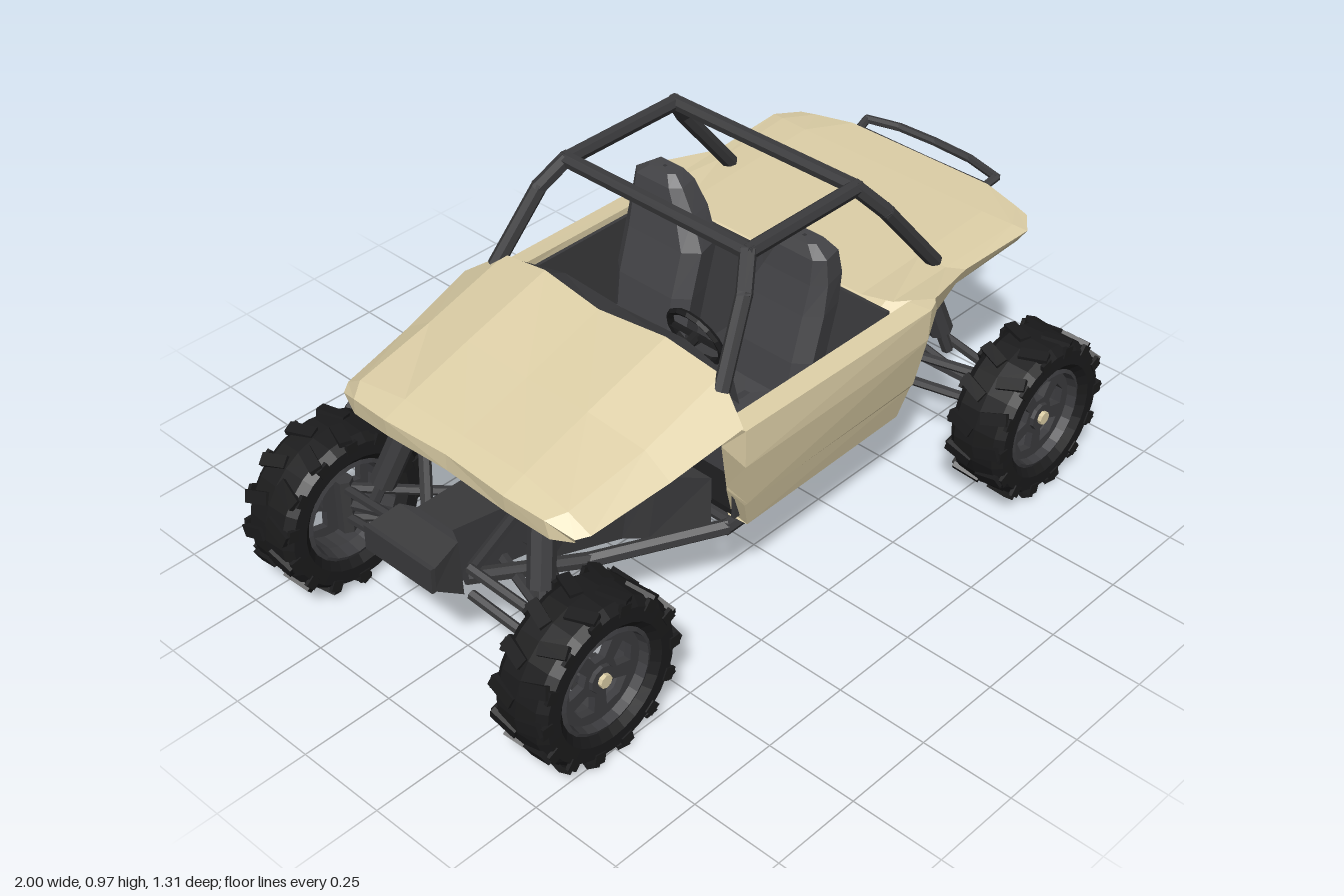
import * as THREE from 'three';
import { mergeGeometries } from 'three/addons/utils/BufferGeometryUtils.js';

const mat = (name, color) => Object.assign(new THREE.MeshStandardMaterial({ color, side: THREE.DoubleSide }), { name });
const paint = mat('tan paint', 0xdccea6);
const rubber = mat('black rubber', 0x1b1b1c);
const steel = mat('dark steel', 0x3a3a3c);
const rimGrey = mat('rim grey', 0x3c3c3f);
const fabric = mat('seat grey', 0x444447);

const V = (p) => new THREE.Vector3(...p);

export function createModel() {
  const root = new THREE.Group();

  const add = (name, geo, material, parent = root) => {
    const g = geo.index ? geo.toNonIndexed() : geo;
    g.computeVertexNormals();
    const m = new THREE.Mesh(g, material);
    m.name = name;
    parent.add(m);
    return m;
  };
  // Faceted surface through equal-length rows of points
  const loft = (rows, closed = false) => {
    const n = rows[0].length, pos = rows.flat(2), idx = [];
    for (let i = 0; i < rows.length - 1; i++) {
      for (let j = 0; j < (closed ? n : n - 1); j++) {
        const k = (j + 1) % n, a = i * n + j, b = i * n + k, c = a + n, d = b + n;
        idx.push(a, b, c, b, d, c);
      }
    }
    const g = new THREE.BufferGeometry();
    g.setAttribute('position', new THREE.Float32BufferAttribute(pos, 3));
    g.setIndex(idx);
    return g;
  };
  const mirrorRow = (row) => [...row.slice(1).reverse().map(([x, y, z]) => [x, y, -z]), ...row];
  const flip = (pts, s) => pts.map(([x, y, z]) => [x, y, z * s]);
  // Round bar following straight segments
  const bar = (name, pts, r, material = steel, sides = 7) => {
    const parts = [];
    for (let i = 0; i < pts.length - 1; i++) {
      const a = V(pts[i]), b = V(pts[i + 1]), d = b.clone().sub(a), len = d.length();
      const g = new THREE.CylinderGeometry(r, r, len + r * 0.6, sides);
      g.applyQuaternion(new THREE.Quaternion().setFromUnitVectors(new THREE.Vector3(0, 1, 0), d.normalize()));
      g.translate(...a.add(b).multiplyScalar(0.5).toArray());
      parts.push(g);
    }
    return add(name, mergeGeometries(parts), material);
  };
  const box = (name, size, at, material, tiltZ = 0) => {
    const m = add(name, new THREE.BoxGeometry(...size), material);
    m.position.set(...at);
    m.rotation.z = tiltZ;
    return m;
  };

  // Hood with fender edges
  add('hood', loft([
    [[-.775, .555, 0], [-.78, .55, .2], [-.77, .54, .33], [-.74, .54, .38], [-.73, .53, .34]],
    [[-.775, .6, 0], [-.785, .598, .2], [-.775, .59, .32], [-.75, .56, .39], [-.73, .54, .36]],
    [[-.72, .622, 0], [-.72, .622, .2], [-.73, .605, .35], [-.72, .565, .41], [-.7, .545, .38]],
    [[-.52, .678, 0], [-.52, .685, .2], [-.5, .65, .36], [-.5, .6, .438], [-.5, .58, .4]],
    [[-.285, .752, 0], [-.265, .76, .2], [-.25, .725, .36], [-.29, .648, .465], [-.28, .625, .42]],
  ].map(mirrorRow)), paint);

  // Rear deck with side skirts
  add('rearDeck', loft([
    [[.32, .635, 0], [.32, .635, .3], [.33, .65, .39], [.4, .66, .465], [.46, .58, .43]],
    [[.55, .645, 0], [.55, .645, .3], [.55, .64, .38], [.58, .637, .42], [.57, .59, .4]],
    [[.8, .655, 0], [.8, .655, .3], [.81, .65, .39], [.82, .643, .43], [.81, .61, .41]],
    [[.915, .655, 0], [.915, .655, .23], [.89, .648, .34], [.88, .643, .385], [.87, .62, .37]],
    [[.925, .635, 0], [.925, .635, .22], [.895, .625, .33], [.885, .622, .375], [.87, .618, .365]],
  ].map(mirrorRow)), paint);
  add('deckUnderside', loft([
    [[.34, .52, 0], [.34, .52, .3], [.4, .5, .43]],
    [[.54, .635, 0], [.54, .635, .3], [.54, .625, .4]],
  ].map(mirrorRow)), paint);

  // Side panels, with creases and folded ends
  for (const s of [1, -1]) {
    add('sidePanel', loft([
      [[-.28, .632, .4], [-.27, .632, .4], [.36, .63, .4], [.38, .63, .4]],
      [[-.29, .632, .42], [-.27, .624, .455], [.4, .622, .457], [.49, .62, .42]],
      [[-.27, .54, .38], [-.28, .53, .465], [.39, .54, .46], [.475, .52, .39]],
      [[-.24, .4, .37], [-.255, .4, .45], [.375, .4, .435], [.425, .42, .33]],
      [[-.24, .39, .37], [-.25, .385, .437], [.37, .39, .43], [.42, .41, .32]],
      [[-.21, .3, .36], [-.22, .3, .42], [.35, .3, .41], [.37, .31, .3]],
      [[-.2, .295, .33], [-.22, .295, .36], [.35, .295, .36], [.37, .3, .3]],
    ].map((r) => flip(r, s))), paint);
    box('innerTrim', [.58, .3, .01], [.05, .465, s * .392], steel);
  }

  // Cockpit floor, firewalls, dash and console
  box('floor', [.57, .02, .76], [.07, .3, 0], rubber);
  box('seatFirewall', [.012, .33, .78], [.29, .465, 0], steel, -.15);
  add('dash', loft([
    [[-.285, .744, 0], [-.265, .75, .2], [-.25, .71, .34]],
    [[-.21, .72, 0], [-.2, .72, .2], [-.21, .69, .36]],
    [[-.21, .64, 0], [-.2, .64, .2], [-.21, .63, .38]],
    [[-.27, .62, 0], [-.27, .62, .2], [-.27, .61, .38]],
  ].map(mirrorRow)), steel);
  box('console', [.5, .12, .1], [.04, .36, 0], steel);

  // Seats: back leaning outward toward the headrest, and a cushion
  const seatRing = (x, y, w, d, dz = 0) => [[x - d, y, dz - w * .7], [x - d * .4, y, dz - w], [x + d, y, dz - w * .85],
    [x + d, y, dz + w * .85], [x - d * .4, y, dz + w], [x - d, y, dz + w * .7]];
  for (const s of [1, -1]) {
    const seat = new THREE.Group();
    seat.name = 'seat';
    seat.position.z = s * .2;
    root.add(seat);
    add('seatBack', loft([seatRing(.1, .38, .12, .05), seatRing(.13, .55, .13, .055), seatRing(.165, .67, .13, .055),
      seatRing(.18, .75, .105, .05, s * .02), seatRing(.18, .815, .08, .04, s * .035),
      seatRing(.18, .842, .045, .025, s * .03), seatRing(.18, .843, .005, .005, s * .03)], true), fabric, seat);
    add('cushion', loft([seatRing(-.01, .32, .11, .12), seatRing(-.01, .42, .125, .13), seatRing(0, .455, .1, .11),
      seatRing(0, .45, .01, .02)], true), fabric, seat);
  }

  // Steering wheel and column
  const wheelRim = add('steeringWheel', new THREE.TorusGeometry(.08, .009, 5, 16), rubber);
  wheelRim.position.set(-.165, .71, .2);
  wheelRim.rotation.set(-.35, Math.PI / 2, 0, 'YXZ');
  bar('steeringSpokes', [[-.165, .71, .125], [-.165, .71, .275]], .008, rubber, 5);
  bar('steeringColumn', [[-.165, .71, .2], [-.24, .68, .2]], .014, rubber, 6);

  // Roll cage
  for (const s of [1, -1]) {
    bar('cageSide', flip([[-.265, .7, .375], [-.15, .885, .335], [-.095, .955, .295], [.285, .955, .295],
      [.355, .875, .335], [.545, .65, .345]], s), .021);
  }
  for (const x of [-.095, .285]) bar('cageCrossbar', [[x, .955, -.3], [x, .955, .3]], .02);

  // Lower frame rails and crossmembers
  for (const s of [1, -1]) {
    bar('lowerRail', flip([[.5, .29, .15], [.36, .285, .37], [-.24, .275, .37], [-.52, .24, .19], [-.8, .3, .08]], s), .02);
    bar('innerRail', flip([[.6, .29, .1], [-.5, .26, .12]], s), .016);
    bar('frontUpright', flip([[-.78, .32, .08], [-.68, .55, .19], [-.27, .63, .24]], s), .016);
  }
  for (const x of [-.22, .08, .35]) bar('crossmember', [[x, .28, -.36], [x, .28, .36]], .015);

  // Front core sloping down to the footwell, nose box
  const coreRing = (x, y0, y1, w0, w1) => [[x, y0, -w0], [x, y1, -w1], [x, y1, w1], [x, y0, w0]];
  add('footwell', loft([coreRing(-.63, .3, .56, .1, .16), coreRing(-.58, .25, .61, .13, .22),
    coreRing(-.42, .25, .6, .2, .26), coreRing(-.38, .255, .46, .25, .28), coreRing(-.27, .28, .43, .35, .35)], true), steel);
  add('noseBox', loft([coreRing(-.93, .36, .42, .115, .115), coreRing(-.84, .29, .44, .11, .1),
    coreRing(-.82, .28, .44, .06, .06), coreRing(-.6, .25, .42, .08, .08)], true), steel);
  box('nosePlate', [.012, .07, .23], [-.93, .39, 0], steel);

  // Gearbox wedge with a raised centre
  add('gearbox', loft([coreRing(.51, .28, .4, .07, .1), coreRing(.58, .25, .5, .08, .05),
    coreRing(.66, .24, .46, .08, .09), coreRing(.78, .25, .36, .05, .07), coreRing(.79, .3, .31, .01, .01)], true), steel);
  box('driveTunnel', [.5, .08, .09], [.31, .32, 0], steel);

  // Rear frame V, tail bumper
  for (const s of [1, -1]) {
    bar('rearStay', flip([[.93, .635, .21], [.82, .4, .12], [.76, .26, .05]], s), .016);
    bar('rearBrace', flip([[.82, .42, .12], [.6, .6, .23]], s), .015);
    bar('rearLowerStay', flip([[.76, .26, .05], [.5, .29, .12]], s), .016);
    // Folded gusset forming a V above the gearbox
    add('rearGusset', loft([flip([[.76, .34, .01], [.72, .45, .05], [.7, .5, .17]], s),
      flip([[.79, .3, .03], [.8, .36, .09], [.8, .41, .13]], s)]), steel);
  }
  bar('tailBumper', [[.93, .64, -.215], [.965, .65, -.22], [.985, .655, -.12], [.99, .655, 0],
    [.985, .655, .12], [.965, .65, .22], [.93, .64, .215]], .012);
  bar('bumperLowerBar', [[.93, .635, -.2], [.935, .63, 0], [.93, .635, .2]], .01);

  // Suspension: wishbones, axle, coil-over shock on each corner
  const corner = (x, inX, zHub, s) => {
    for (const [y0, y1] of [[.25, .19], [.33, .28]]) {
      bar('wishbone', flip([[inX - .12, y0, .09], [x, y1, zHub], [inX + .1, y0, .08]], s), .013, steel, 6);
    }
    bar('axle', flip([[inX, .28, .06], [x, .225, zHub + .02]], s), .015, steel, 6);
    bar('hubCarrier', flip([[x, .16, zHub], [x, .3, zHub]], s), .024, steel, 6);
    const rear = x > 0, zs = rear ? .31 : .29, zt = rear ? .255 : .21, xt = x + (rear ? -.09 : .1);
    const along = (t) => [x + (xt - x) * t, .29 + .29 * t, zs + (zt - zs) * t];
    bar('shock', flip([along(0), along(1)], s), .016, steel, 6);
    bar('shockSpring', flip([along(.25), along(.8)], s), .034, steel, 8);
  };

  // Wheels: tyre with shallow lugs, rim ring, five-spoke disc and hub cap
  const lathe = (profile, seg) => new THREE.LatheGeometry(profile.map(([r, y]) => new THREE.Vector2(r, y)), seg).rotateX(Math.PI / 2);
  const tyreGeo = lathe([[.136, -.062], [.16, -.083], [.198, -.082], [.216, -.06], [.219, 0], [.216, .06],
    [.198, .082], [.16, .083], [.136, .062]], 28);
  const lugs = [];
  for (let i = 0; i < 28; i++) {
    const side = i % 2 ? 1 : -1;
    lugs.push(new THREE.BoxGeometry(.032, .014, .075).rotateY(side * .35).translate(0, .2175, side * .044).rotateZ(i * Math.PI / 14));
    lugs.push(new THREE.BoxGeometry(.032, .03, .01).translate(0, .2, side * .081).rotateZ(i * Math.PI / 14));
  }
  const lugGeo = mergeGeometries(lugs);
  const rimGeo = lathe([[.14, -.066], [.13, -.07], [.122, -.03], [.122, .03], [.13, .07], [.14, .066], [.14, -.066]], 24);
  const disc = new THREE.Shape().absarc(0, 0, .126, 0, Math.PI * 2);
  for (let i = 0; i < 5; i++) {
    const at = (r, a) => new THREE.Vector2(r * Math.cos(a + i * 1.2566 + .3), r * Math.sin(a + i * 1.2566 + .3));
    disc.holes.push(new THREE.Path([at(.052, -.3), at(.096, -.42), at(.104, 0), at(.096, .42), at(.052, .3)]));
  }
  const discGeo = new THREE.ExtrudeGeometry(disc, { depth: .02, bevelEnabled: false, curveSegments: 20 });
  const wheel = (x, z, s) => {
    const w = new THREE.Group();
    w.name = 'wheel';
    w.position.set(x, .226, z * s);
    if (s < 0) w.rotation.y = Math.PI;
    root.add(w);
    add('tyre', tyreGeo, rubber, w);
    add('treadLugs', lugGeo, rubber, w);
    add('rim', rimGeo, rimGrey, w);
    add('spokes', discGeo, rimGrey, w).position.z = .025;
    add('hub', new THREE.CylinderGeometry(.036, .042, .05, 10).rotateX(Math.PI / 2), rimGrey, w).position.z = .03;
    add('hubCap', new THREE.CylinderGeometry(.018, .018, .012, 8).rotateX(Math.PI / 2), paint, w).position.z = .06;
  };
  for (const s of [1, -1]) {
    wheel(-.772, .435, s);
    wheel(.682, .567, s);
    corner(-.772, -.68, .4, s);
    corner(.682, .62, .52, s);
  }
  return root;
}
